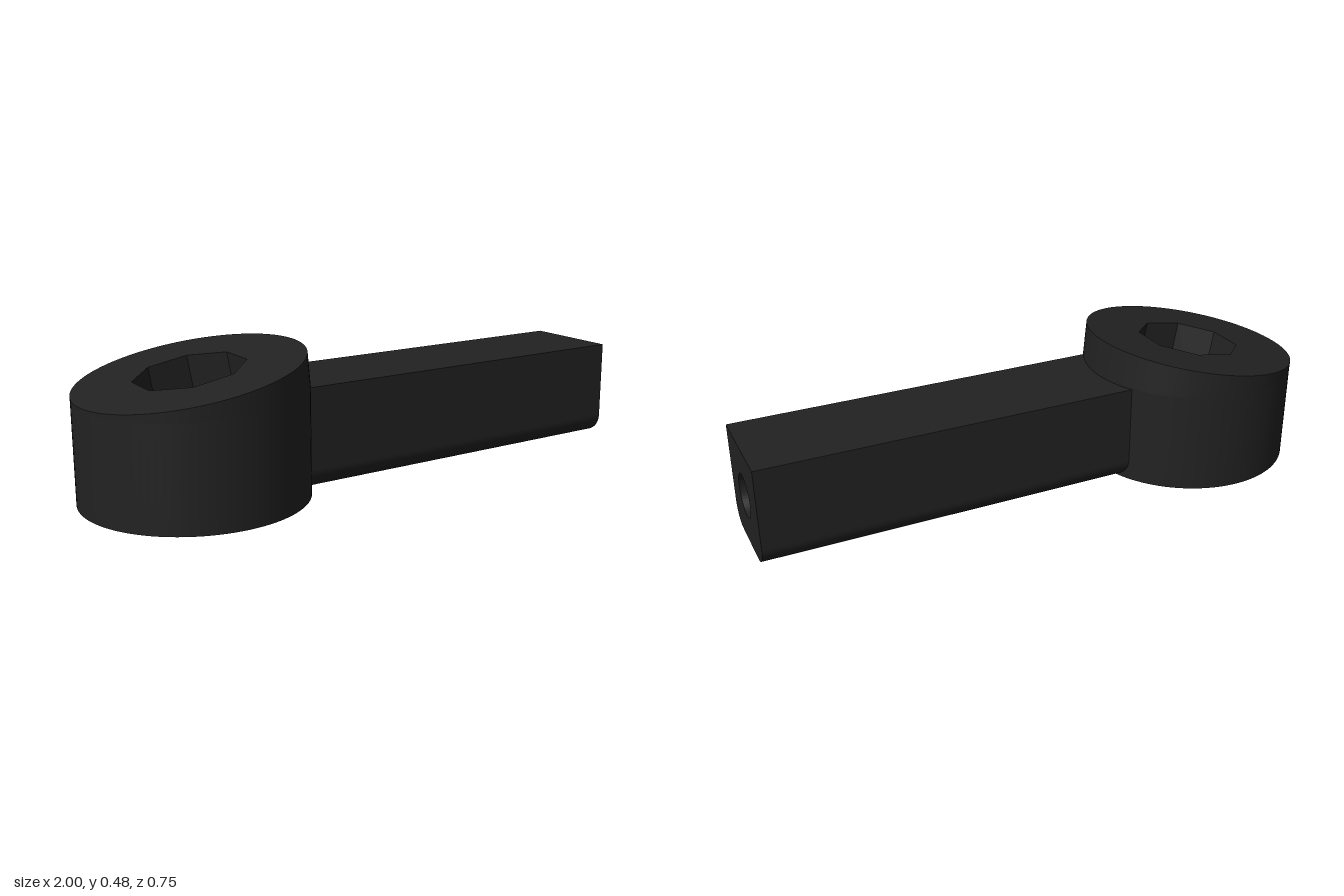
import * as THREE from 'three';

const SIDES = 96;
const TILT = THREE.MathUtils.degToRad(10);
const TOP = new THREE.Vector3(-0.634, 0.411, 0); // centre of the slanted top
const HEAD_X = -0.628, HEAD_R = 0.3725;
const POCKET_DEPTH = 0.36, POCKET_R = 0.182, HOLE_R = 0.052;

// Frame whose y axis is square to the slanted top
const slant = (depth = 0) => new THREE.Matrix4().makeTranslation(TOP.x, TOP.y, TOP.z)
  .multiply(new THREE.Matrix4().makeRotationZ(TILT))
  .multiply(new THREE.Matrix4().makeTranslation(0, -depth, 0));

// Ring of points around y, optionally moved by a rule
function ring(r, n, place, phase = 0) {
  return Array.from({ length: n }, (_, i) => {
    const a = phase + (i / n) * Math.PI * 2;
    return place(new THREE.Vector3(r * Math.cos(a), 0, r * Math.sin(a)));
  });
}

// Wall through rings listed bottom to top; inward walls face the axis
function loft(rings, { inward = false, flat = false } = {}) {
  const n = rings[0].length, index = [];
  for (let k = 0; k < rings.length - 1; k++) {
    for (let i = 0; i < n; i++) {
      const a = k * n + i, b = k * n + (i + 1) % n, c = a + n, d = b + n;
      if (inward) index.push(a, b, c, b, d, c);
      else index.push(a, c, b, b, c, d);
    }
  }
  let geo = new THREE.BufferGeometry().setFromPoints(rings.flat());
  geo.setIndex(index);
  if (flat) geo = geo.toNonIndexed();
  geo.computeVertexNormals();
  return geo;
}

// Flat plate facing up, with one hole
function plate(outline, hole) {
  const shape = new THREE.Shape(outline);
  shape.holes.push(new THREE.Path(hole));
  return new THREE.ShapeGeometry(shape).rotateX(-Math.PI / 2);
}

const polygon = (r, n, cx = 0, phase = 0) => Array.from({ length: n }, (_, i) => {
  const a = phase + (i / n) * Math.PI * 2;
  return new THREE.Vector2(cx + r * Math.cos(a), r * Math.sin(a));
});

export function createModel() {
  const model = new THREE.Group();
  const black = new THREE.MeshStandardMaterial({ color: 0x222222, side: THREE.DoubleSide });
  black.name = 'black';
  const add = (name, geo, parent) => {
    const mesh = new THREE.Mesh(geo, black);
    mesh.name = name;
    parent.add(mesh);
  };

  // Round head: upright lower wall that leans in to meet the slanted top
  const head = new THREE.Group();
  head.name = 'head';
  model.add(head);
  const upright = (p) => p.setX(p.x + HEAD_X);
  const shoulder = (p) => new THREE.Vector3(p.x + HEAD_X, 0.343 + p.x * 0.02, p.z);
  const onTop = (p) => p.applyMatrix4(slant());
  add('headLowerWall', loft([ring(HEAD_R, SIDES, upright), ring(HEAD_R, SIDES, shoulder)]), head);
  add('headUpperWall', loft([ring(HEAD_R, SIDES, shoulder), ring(HEAD_R, SIDES, onTop)]), head);
  add('headTop', plate(polygon(HEAD_R, SIDES), polygon(POCKET_R, 8, 0, Math.PI / 8))
    .applyMatrix4(slant()), head);

  // Eight-sided pocket, square to the slanted top
  const onFloor = (p) => p.applyMatrix4(slant(POCKET_DEPTH));
  add('pocketWalls', loft([
    ring(POCKET_R, 8, onFloor, Math.PI / 8),
    ring(POCKET_R, 8, onTop, Math.PI / 8),
  ], { inward: true, flat: true }), head);
  add('pocketFloor', plate(polygon(POCKET_R, 8, 0, Math.PI / 8), polygon(HOLE_R, 32))
    .applyMatrix4(slant(POCKET_DEPTH)), head);

  // Small hole carried on along the slanted axis to the underside
  const onGround = (p) => {
    onFloor(p);
    p.x += p.y * Math.tan(TILT);
    return p.setY(0);
  };
  add('throughHole', loft([ring(HOLE_R, 32, onGround), ring(HOLE_R, 32, onFloor)],
    { inward: true }), head);
  const holeX = TOP.x + TOP.y * Math.tan(TILT);
  const base = plate(polygon(HEAD_R, SIDES, HEAD_X), polygon(HOLE_R, 32, holeX));
  add('headBase', base.rotateX(Math.PI), head);

  // Bar with rounded lower edges and a round socket in its end
  const w = 0.173, h = 0.346, r = 0.07;
  const section = (withHole) => {
    const s = new THREE.Shape();
    s.moveTo(-w, h);
    s.lineTo(-w, r);
    s.absarc(-w + r, r, r, Math.PI, Math.PI * 1.5, false);
    s.lineTo(w - r, 0);
    s.absarc(w - r, r, r, -Math.PI / 2, 0, false);
    s.lineTo(w, h);
    s.closePath();
    if (withHole) s.holes.push(new THREE.Path().absarc(0, 0.174, 0.073, 0, Math.PI * 2, true));
    return s;
  };
  const bar = new THREE.Group();
  bar.name = 'bar';
  model.add(bar);
  const length = (from, to, withHole) => new THREE.ExtrudeGeometry(section(withHole),
    { depth: to - from, bevelEnabled: false, curveSegments: 24 })
    .rotateY(Math.PI / 2).translate(from, 0, 0);
  add('solidBar', length(-0.33, 0.5, false), bar);
  add('socketEnd', length(0.5, 1, true), bar);

  return model;
}
